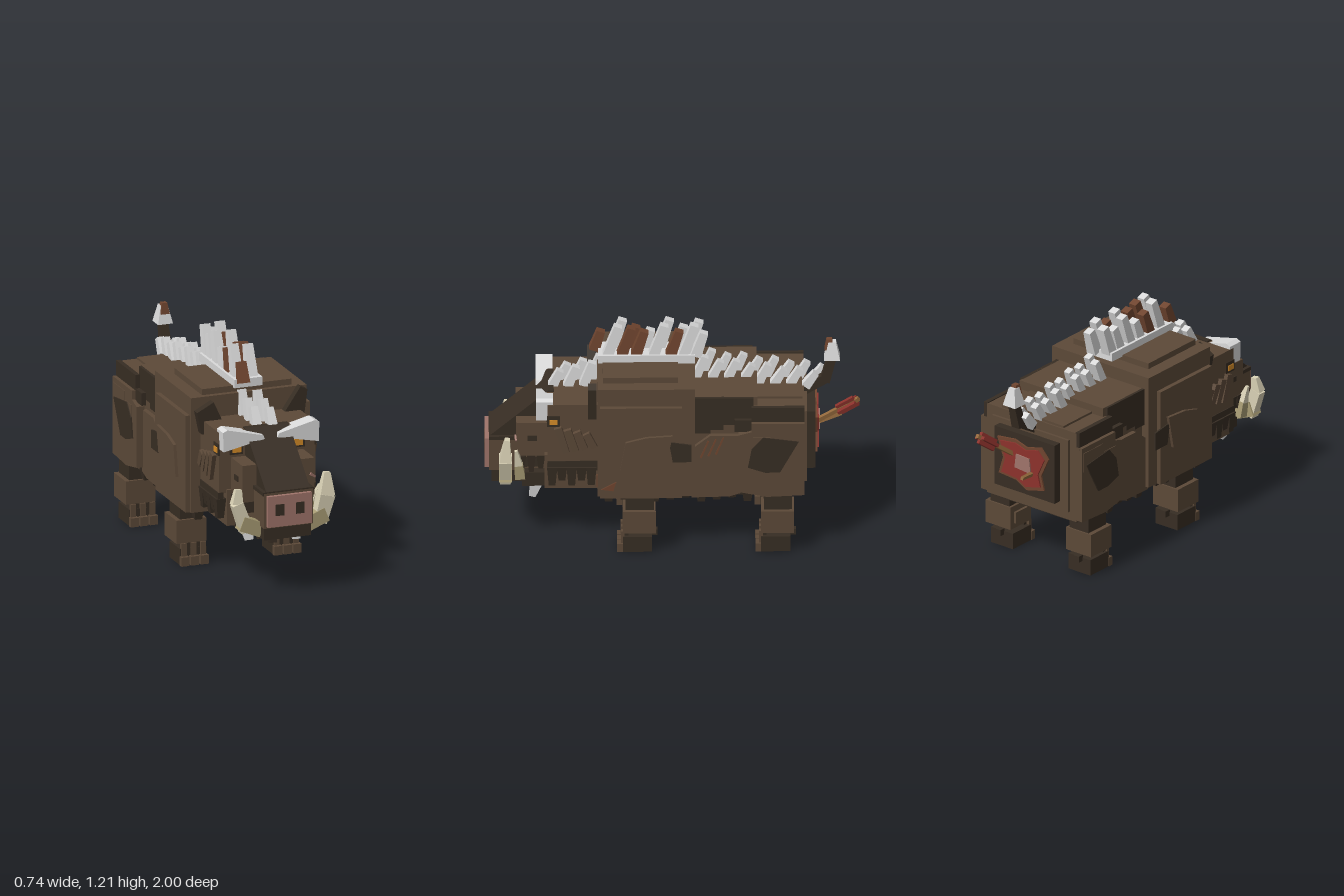
import * as THREE from 'three';

const mat = (name, color) => {
  const m = new THREE.MeshStandardMaterial({ color });
  m.name = name;
  return m;
};

export function createModel() {
  const root = new THREE.Group();
  root.name = 'armouredBoar';
  const brown = mat('brownHide', 0x5c4938), dark = mat('darkFur', 0x372d23), pink = mat('snoutPink', 0x9f746a),
    bone = mat('bone', 0xdadada), ivory = mat('tuskIvory', 0xd8d0b4), horn = mat('tuskRoot', 0xa89c74),
    rust = mat('rust', 0x70452f), amber = mat('amberEye', 0xd68c28), red = mat('woundRed', 0x8c322c),
    wood = mat('arrowWood', 0x94693c);

  const add = (name, geo, m) => {
    const mesh = new THREE.Mesh(geo, m);
    mesh.name = name;
    root.add(mesh);
    return mesh;
  };
  // box from its limits
  const box = (name, m, x0, x1, y0, y1, z0, z1) => add(name,
    new THREE.BoxGeometry(x1 - x0, y1 - y0, z1 - z0).translate((x0 + x1) / 2, (y0 + y1) / 2, (z0 + z1) / 2), m);
  // the same box on both sides, limits given for the left (+x) side
  const pair = (name, m, x0, x1, ...r) => {
    box(name, m, x0, x1, ...r);
    box(name, m, -x1, -x0, ...r);
  };
  const extrude = (pts, depth) => new THREE.ExtrudeGeometry(
    new THREE.Shape(pts.map(p => new THREE.Vector2(...p))), { depth, bevelEnabled: false });
  // outline in (z, y), thickened along x
  const slab = (name, m, pts, x0, x1) =>
    add(name, extrude(pts, x1 - x0).rotateY(-Math.PI / 2).translate(x1, 0, 0), m);
  const slabPair = (name, m, pts, x0, x1) => {
    slab(name, m, pts, x0, x1);
    slab(name, m, pts, -x1, -x0);
  };
  // outline in (x, y), thickened along z
  const plate = (name, m, pts, z0, z1) => add(name, extrude(pts, z1 - z0).translate(0, 0, z0), m);
  // square tapered bar between two points
  const bar = (name, m, a, b, w0, w1, flat = 1) => {
    const p = new THREE.Vector3(...a), q = new THREE.Vector3(...b), d = q.clone().sub(p);
    const g = new THREE.CylinderGeometry(w1 / Math.SQRT2, w0 / Math.SQRT2, d.length(), 4)
      .rotateY(Math.PI / 4).scale(1, 1, flat).toNonIndexed();
    g.computeVertexNormals();
    const mesh = add(name, g, m);
    mesh.quaternion.setFromUnitVectors(new THREE.Vector3(0, 1, 0), d.normalize());
    mesh.position.copy(p.add(q).multiplyScalar(0.5));
  };

  // body
  box('shoulderHump', brown, -.33, .33, .33, .97, -.12, .40);
  box('humpTop', brown, -.255, .255, .97, 1.003, -.03, .37);
  pair('shoulderSide', brown, .33, .355, .33, .87, -.05, .385);
  slabPair('shoulderPlate', brown, [[.28, .5], [.25, .67], [.14, .70], [0, .71], [.04, .52], [.16, .49]], .355, .372);
  box('midBody', brown, -.285, .285, .34, .90, -.45, -.1);
  box('hindBody', brown, -.305, .305, .33, .85, -.70, -.42);
  box('backPlate', brown, -.21, .21, .85, .862, -.69, -.43);
  slabPair('thigh', brown, [[-.35, .36], [-.35, .70], [-.42, .72], [-.42, .77], [-.70, .77], [-.70, .34], [-.5, .33]], .3, .345);
  slabPair('thighPatch', dark, [[-.40, .51], [-.42, .62], [-.48, .69], [-.67, .665], [-.57, .48], [-.49, .48]], .345, .353);
  slabPair('midFur', dark, [[-.12, .9], [-.43, .9], [-.43, .77], [-.34, .77], [-.34, .74], [-.27, .74],
    [-.27, .71], [-.2, .71], [-.2, .69], [-.12, .69]], .28, .3);
  slabPair('hindFur', dark, [[-.42, .855], [-.70, .855], [-.70, .75], [-.62, .75], [-.62, .72], [-.5, .72],
    [-.5, .69], [-.40, .69], [-.40, .71], [-.33, .71], [-.33, .78], [-.42, .78]], .3, .325);
  slabPair('thighTop', brown, [[-.52, .74], [-.52, .69], [-.42, .69], [-.42, .63], [-.69, .63], [-.69, .74]], .325, .348);
  slabPair('flankPlate', brown, [[-.10, .31], [-.10, .6], [-.2, .68], [-.36, .68], [-.36, .335], [-.3, .315]], .28, .31);
  slabPair('sidePatch', dark, [[.02, .67], [-.10, .65], [-.10, .55], [0, .55]], .352, .362);
  box('belly', dark, -.29, .29, .315, .345, -.68, .36);
  box('rumpPlate', dark, -.205, .205, .43, .77, -.76, -.70);
  box('rumpFrame', brown, -.26, .26, .38, .80, -.715, -.70);

  // ragged fur hanging along the belly
  for (let i = 0; i < 10; i++) {
    const z = .34 - i * .082, y = .275 + (i % 3) * .012;
    for (const s of [-1, 1]) bar('bellyFringe', dark, [s * .27, .36, z], [s * .27, y, z], .065, .038);
  }

  // scratches on the left flank
  for (let i = 0; i < 3; i++)
    bar('scratch', rust, [.31, .55 + i * .01, -.15 - i * .04], [.31, .65 + i * .01, -.19 - i * .04], .01, .008);
  slab('shoulderScar', rust, [[.38, .385], [.30, .43], [.315, .375]], .355, .36);
  box('shoulderScarFront', rust, .315, .331, .385, .455, .40, .405);

  // legs, front and rear alike
  for (const s of [-1, 1]) for (const dz of [0, -.735]) {
    const part = (name, m, x0, x1, ...r) => {
      const b = box(name, m, s > 0 ? x0 : -x1, s > 0 ? x1 : -x0, ...r);
      b.position.z = dz;
    };
    part('upperLeg', dark, .205, .335, .2, .36, .10, .25);
    part('legCuff', brown, .19, .36, .12, .25, .09, .265);
    part('cuffFlap', brown, .175, .2, .15, .215, .12, .22);
    part('ankle', dark, .215, .325, .08, .13, .235, .262);
    part('foot', dark, .19, .34, 0, .09, .11, .265);
    for (let i = 0; i < 3; i++) {
      part('toe', brown, .187 + i * .055, .233 + i * .055, 0, .05, .265, .295);
      part('toeTop', brown, .195 + i * .055, .225 + i * .055, .05, .12, .255, .275);
    }
    part('dewClaw', dark, .25, .285, .07, .105, .08, .115);
  }

  // head
  box('skull', brown, -.275, .275, .51, .85, .38, .665);
  box('throat', brown, -.235, .235, .33, .53, .38, .68);
  box('cheek', brown, -.205, .205, .50, .705, .64, .83);
  pair('cheekSpot', dark, .205, .211, .60, .63, .72, .77);
  box('snout', brown, -.14, .14, .39, .585, .64, .975);
  slab('noseBridge', dark, [[.975, .585], [.715, .81], [.66, .858], [.63, .858], [.63, .585]], -.125, .125);
  box('snoutRim', dark, -.145, .145, .572, .592, .82, .975);
  box('noseDisc', pink, -.125, .125, .40, .572, .97, .997);
  pair('nostril', dark, .033, .082, .462, .525, .994, 1);
  box('lowerJaw', dark, -.135, .135, .32, .39, .66, .96);
  box('chin', dark, -.19, .19, .32, .40, .66, .80);
  pair('lip', dark, .14, .2, .44, .52, .69, .83);
  pair('eyeSocket', dark, .14, .215, .72, .785, .66, .672);
  pair('eyeSocketSide', dark, .27, .28, .722, .785, .597, .667);
  pair('eye', amber, .15, .2, .732, .768, .668, .678);
  pair('eyeSide', amber, .277, .285, .735, .765, .612, .655);

  // chin tufts
  for (const [x, y] of [[-.135, .26], [-.065, .26], [0, .23], [.065, .26], [.135, .235]])
    bar('chinTuft', Math.abs(x) > .1 ? bone : dark, [x, .33, .72], [x, y, .745], .065, .035);
  bar('faceScar', pink, [.125, .75, .677], [.15, .705, .677], .01, .018);
  bar('cheekScar', pink, [.18, .62, .832], [.21, .60, .832], .016, .01);

  for (const s of [-1, 1]) {
    // cheek fur strips and jowl fringe
    for (let i = 0; i < 4; i++) {
      const z = .61 - i * .05;
      bar('cheekFur', brown, [s * .278, .72 - i * .012, z], [s * .278, .57 + i * .01, z - .045], .042, .035);
    }
    box('jowl', dark, s * .265 - .015, s * .265 + .015, .46, .515, .40, .665);
    for (let i = 0; i < 5; i++) {
      const z = .64 - i * .052;
      bar('jowlFringe', dark, [s * .262, .48, z], [s * .262, .37 + (i % 2) * .03, z], .055, .036);
    }
    for (let i = 0; i < 3; i++)
      bar('lipFringe', dark, [s * .19, .51, .80 - i * .05], [s * .19, .43 - (i % 2) * .02, .80 - i * .05], .045, .025);
    // ears
    const ear = s > 0 ? [[.18, .84], [.275, .98], [.315, .96], [.29, .77], [.25, .77]]
      : [[-.17, .84], [-.22, .95], [-.315, .90], [-.29, .78], [-.25, .77]];
    plate('ear', dark, ear, .405, .45);
    // heavy brow
    plate('brow', bone, [[.036, .806], [.045, .828], [.25, .878], [.275, .866], [.272, .758], [.08, .798]]
      .map(([x, y]) => [s * x, y]), .635, .725);
    // tusks, the left one longer
    const [kneeX, kneeY, kneeW, tipX, tipY] = s > 0 ? [.247, .515, .085, .256, .635] : [.262, .52, .062, .25, .595];
    bar('tuskRoot', horn, [s * .128, .365, .887], [s * .242, .412, .887], .08, .08, .85);
    bar('tuskMiddle', ivory, [s * .208, .365, .888], [s * kneeX, kneeY, .888], .07, kneeW, .8);
    bar('tuskTip', ivory, [s * kneeX, kneeY - .005, .888], [s * tipX, tipY, .878], kneeW, .035, .75);
    bar('smallTusk', horn, [s * .20, .38, .81], [s * .213, .47, .818], .055, .045);
    bar('smallTuskTip', ivory, [s * .213, .465, .818], [s * .235, .555, .832], .045, .015);
  }

  // bone ridge and its tall spines: colour, base z, tip height
  box('ridgeBase', bone, -.08, .08, .995, 1.042, -.12, .395);
  const ridge = {
    left: [[bone, .345, 1.2], [rust, .27, 1.19], [rust, .195, 1.17], [bone, .1, 1.205], [rust, .01, 1.17],
      [bone, -.06, 1.205], [bone, -.125, 1.16]],
    right: [[rust, .415, 1.135], [bone, .32, 1.2], [rust, .235, 1.16], [bone, .15, 1.14], [bone, .07, 1.2],
      [bone, -.02, 1.16], [bone, -.09, 1.19]],
  };
  for (const [side, spines] of Object.entries(ridge)) {
    const x = side === 'left' ? .037 : -.037, shift = side === 'left' ? 0 : .04;
    for (const [m, z, top] of spines)
      bar('humpSpine', m, [x, 1.025, z], [x, top, z - (top - 1.025) * .33], .058, .045);
    // head
    for (let i = 0; i < 3; i++) {
      const z = .64 - i * .085 - shift;
      bar('headSpine', bone, [x, .84 + i * .005, z], [x, .935 + i * .024, z - .045], .052, .04);
    }
    // back, alternating long and short
    for (let i = 0; i < 8; i++) {
      const z = -.12 - i * .084 - shift, base = .88 - i * .006;
      bar('backSpine', bone, [x, base, z], [x, 1.015 - i * .012 - (i % 2) * .015, z - .055], .05, .038);
    }
  }

  // tail
  bar('tailRoot', dark, [0, .80, -.69], [0, .87, -.82], .06, .05);
  bar('tailMiddle', dark, [0, .85, -.81], [0, .99, -.85], .055, .045);
  bar('tailCap', bone, [0, .985, -.85], [0, 1.085, -.85], .085, .04);
  bar('tailTip', rust, [0, 1.04, -.835], [0, 1.10, -.835], .05, .03);

  // layered wound on the rump
  const wound = [[-.17, .68], [-.12, .735], [-.02, .71], [.06, .735], [.18, .72], [.14, .61], [.17, .51],
    [.05, .50], [-.02, .46], [-.14, .49], [-.12, .57]];
  const scaled = k => wound.map(([x, y]) => [x * k, .61 + (y - .61) * k]);
  plate('woundEdge', rust, scaled(1), -.77, -.76);
  plate('woundFlesh', red, scaled(.86), -.778, -.77);
  plate('woundCore', pink, [[-.06, .57], [-.05, .655], [.04, .66], [.05, .58]], -.785, -.778);

  // arrows
  bar('arrowShaft', wood, [.07, .64, -.76], [.138, .81, -.99], .022, .022);
  bar('arrowFletching', red, [.105, .728, -.885], [.133, .797, -.975], .07, .07, .25);
  bar('arrowFletching', red, [.105, .728, -.885], [.133, .797, -.975], .02, .02, 3.2);
  bar('brokenArrow', wood, [-.055, .565, -.76], [-.095, .597, -.90], .022, .016);
  return root;
}
